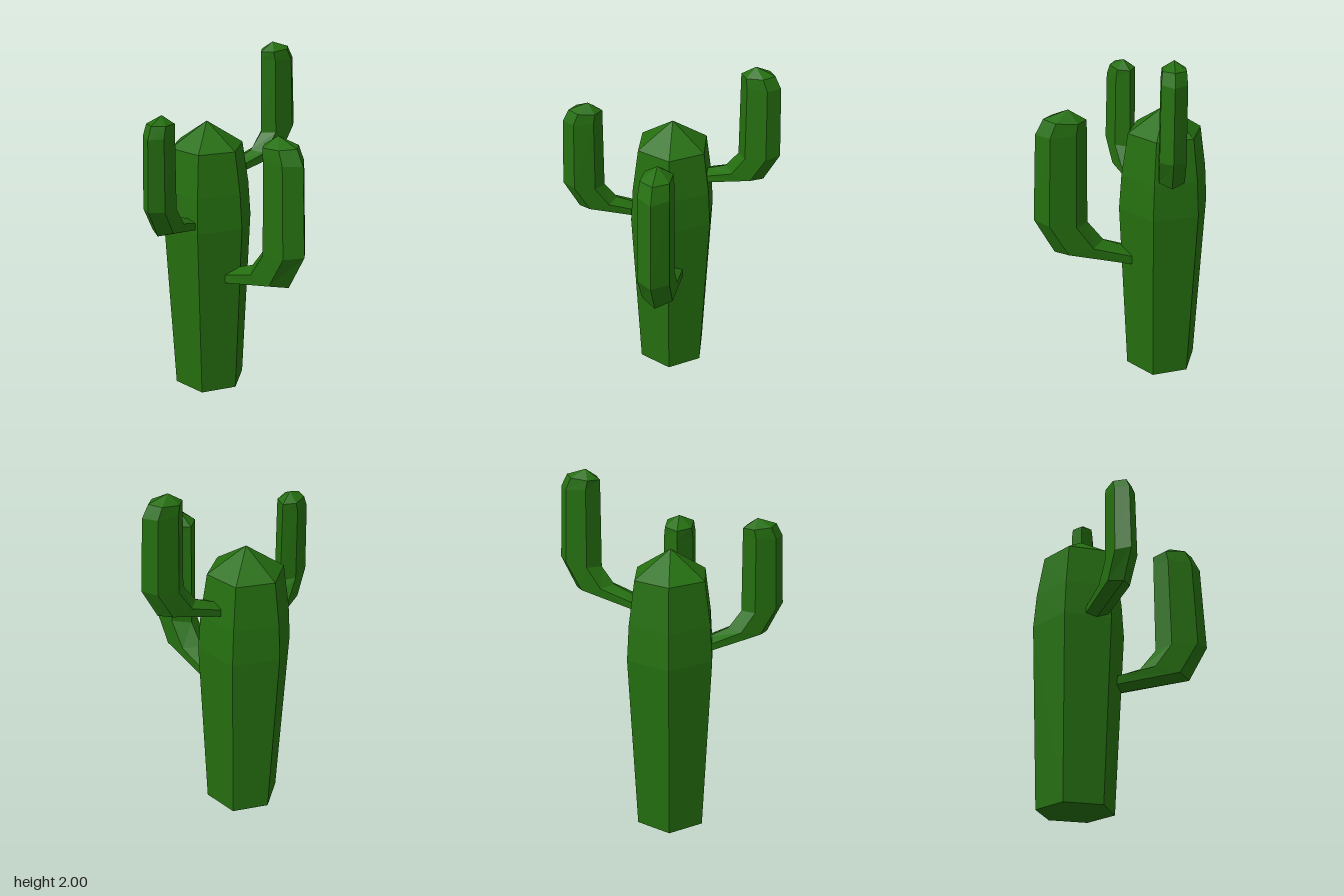
import * as THREE from 'three';

const green = new THREE.MeshStandardMaterial({ color: 0x256f10, flatShading: true });

// Arm cross-sections: inner x, inner y, outer x, outer y, half width
const armRings = [
  [0.00, 0.10, 0.00, 0.00, 0.078],
  [0.15, 0.16, 0.43, 0.11, 0.085],
  [0.24, 0.28, 0.54, 0.32, 0.087],
  [0.235, 0.83, 0.515, 0.82, 0.083],
  [0.235, 0.885, 0.47, 0.905, 0.076],
];
const armTip = [0.335, 0.95, 0];

// Six-sided loft through the rings, closed by a start cap and a pointed tip
function armGeometry() {
  const rings = armRings.map(([ix, iy, ox, oy, w]) => {
    const at = (t, z) => [ix + (ox - ix) * t, iy + (oy - iy) * t, z];
    return [at(0, 0), at(0.25, w), at(0.75, w), at(1, 0), at(0.75, -w), at(0.25, -w)];
  });
  const pos = [];
  const tri = (...corners) => corners.forEach((c) => pos.push(...c));
  const last = rings.length - 1;
  for (let i = 0; i < 6; i++) {
    const j = (i + 1) % 6;
    for (let r = 0; r < last; r++) {
      const a = rings[r], b = rings[r + 1];
      tri(a[i], a[j], b[j]);
      tri(a[i], b[j], b[i]);
    }
    tri(rings[last][i], rings[last][j], armTip);
    tri(rings[0][j], rings[0][i], [0, 0.05, 0]);
  }
  const geo = new THREE.BufferGeometry();
  geo.setAttribute('position', new THREE.Float32BufferAttribute(pos, 3));
  geo.computeVertexNormals();
  return geo;
}

export function createModel() {
  const model = new THREE.Group();
  model.name = 'cactus';

  // Trunk: hexagonal, widest just above the middle, with a low pointed top
  const profile = [[0, 0], [0.21, 0], [0.26, 1.03], [0.246, 1.23], [0.21, 1.47], [0, 1.61]]
    .map(([r, y]) => new THREE.Vector2(r, y));
  const trunk = new THREE.Mesh(new THREE.LatheGeometry(profile, 6, Math.PI / 2), green);
  trunk.name = 'trunk';
  trunk.position.set(-0.24, 0, -0.004);
  model.add(trunk);

  // Three arms of one shape, differing in size and heading
  const geo = armGeometry();
  const arms = [
    ['leftArm', [-0.04, 0.68, -0.005], 1, -0.085],
    ['frontArm', [-0.196, 1.02, 0.195], 0.767, -1.338],
    ['backArm', [-0.207, 1.26, -0.193], 0.778, 1.29],
  ];
  for (const [name, position, scale, yaw] of arms) {
    const arm = new THREE.Mesh(geo, green);
    arm.name = name;
    arm.position.set(...position);
    arm.scale.setScalar(scale);
    arm.rotation.y = yaw;
    model.add(arm);
  }
  return model;
}
